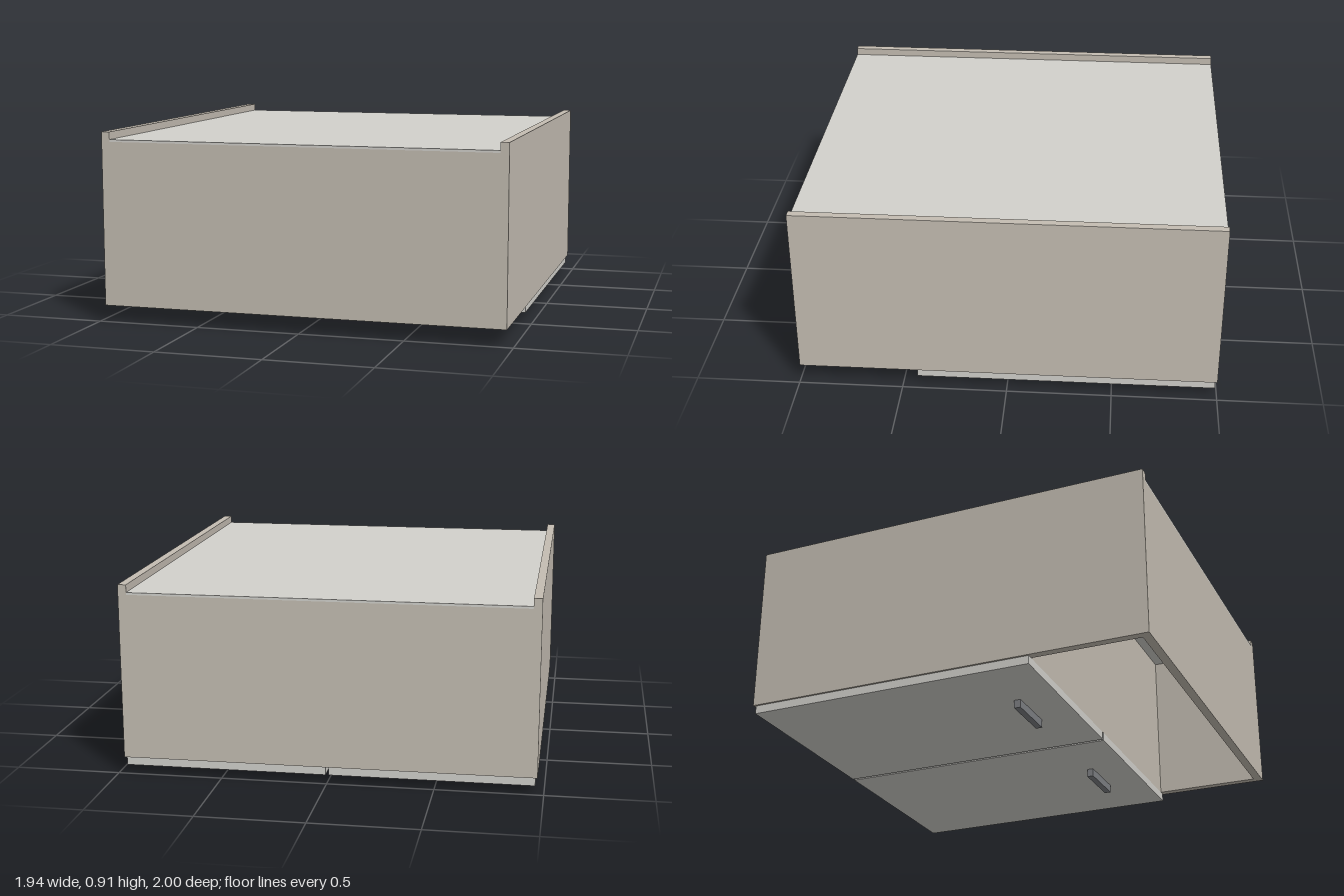
import * as THREE from 'three';

const wood = new THREE.MeshStandardMaterial({ color: 0xc4bdb2 });
const light = new THREE.MeshStandardMaterial({ color: 0xd2d1cc });
const metal = new THREE.MeshStandardMaterial({ color: 0x7d7f83 });

// Box panel given by its extents on each axis
function panel(name, material, [x0, x1], [y0, y1], [z0, z1]) {
  const mesh = new THREE.Mesh(new THREE.BoxGeometry(x1 - x0, y1 - y0, z1 - z0), material);
  mesh.position.set((x0 + x1) / 2, (y0 + y1) / 2, (z0 + z1) / 2);
  mesh.name = name;
  return mesh;
}

const mirror = ([a, b], s) => (s > 0 ? [a, b] : [-b, -a]);

export function createModel() {
  const cabinet = new THREE.Group();
  cabinet.name = 'cabinet';
  const inner = [-0.93, 0.93];

  // Carcass: end walls and a divider between the side panels
  cabinet.add(
    panel('frontWall', wood, inner, [0.08, 0.865], [0.958, 1]),
    panel('backWall', wood, inner, [0.08, 0.865], [-1, -0.958]),
    panel('divider', wood, inner, [0.08, 0.865], [0.39, 0.432]),
    panel('topPanel', light, inner, [0.865, 0.876], [-1, 1])
  );

  for (const s of [1, -1]) {
    const side = s > 0 ? 'left' : 'right';
    // Side panel, standing proud of the top
    cabinet.add(panel(side + 'Side', wood, mirror([0.93, 0.97], s), [0.08, 0.912], [-1, 1]));

    // Door with its pull on the underside
    const door = new THREE.Group();
    door.name = side + 'Door';
    door.add(
      panel('doorPanel', light, mirror([0.007, 0.96], s), [0.04, 0.08], [-0.99, 0.432]),
      panel('handle', metal, mirror([0.35, 0.617], s), [0, 0.04], [0.214, 0.246])
    );
    cabinet.add(door);
  }
  return cabinet;
}
